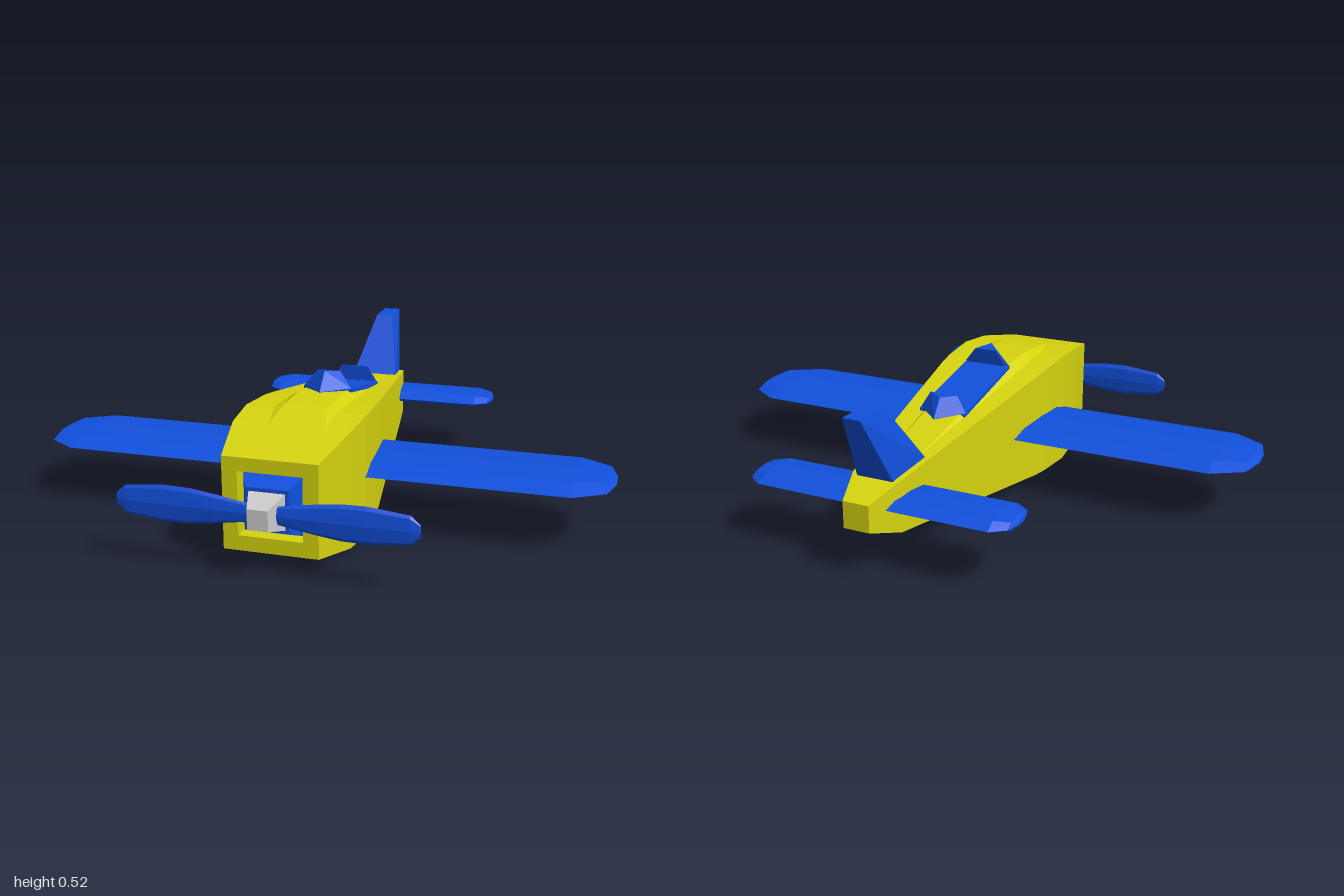
import * as THREE from 'three';
import { ConvexGeometry } from 'three/addons/geometries/ConvexGeometry.js';

const paint = (color) => new THREE.MeshStandardMaterial({ color, flatShading: true });
const yellow = paint(0xd6d40f);
const blue = paint(0x1150dd);
const grey = paint(0xcccccc);

// Solid through a handful of corner points
function hull(name, points, material) {
  const geometry = new ConvexGeometry(points.map((p) => new THREE.Vector3(...p)));
  const mesh = new THREE.Mesh(geometry, material);
  mesh.name = name;
  return mesh;
}

// Mirror a list of points across x = 0
const bothSides = (points) => points.flatMap(([x, y, z]) => [[x, y, z], [-x, y, z]]);

// Boxy fuselage lofted through [z, halfWidth, bottom, top, ridge] stations
function fuselage() {
  const stations = [
    [0.67, 0.105, 0.11, 0.32, 0], // floor of the nose recess
    [0.72, 0.105, 0.11, 0.32, 0], // rim of the recess
    [0.72, 0.155, 0.06, 0.365, 0],
    [0.51, 0.197, 0.015, 0.41, 0],
    [0.36, 0.208, 0.005, 0.422, 0.012],
    [0.2, 0.2, 0.014, 0.414, 0.024],
    [0.13, 0.193, 0.02, 0.406, 0.024],
    [-0.53, 0.106, 0.105, 0.32, 0],
    [-0.69, 0.085, 0.125, 0.3, 0],
    [-0.82, 0.045, 0.17, 0.26, 0],
  ];
  const rings = stations.map(([z, w, bottom, top, ridge]) => {
    const a = Math.min(0.11, w * 0.6), b = Math.min(0.075, w * 0.4);
    return [
      [-w, bottom, z], [w, bottom, z], [w, top, z], [a, top, z],
      [b, top + ridge, z], [-b, top + ridge, z], [-a, top, z], [-w, top, z],
    ];
  });
  const position = [];
  const tri = (...corners) => corners.forEach((c) => position.push(...c));
  const n = rings[0].length;
  for (let i = 0; i < rings.length - 1; i++) {
    for (let j = 0; j < n; j++) {
      const k = (j + 1) % n;
      tri(rings[i][j], rings[i + 1][j], rings[i + 1][k]);
      tri(rings[i][j], rings[i + 1][k], rings[i][k]);
    }
  }
  const last = rings[rings.length - 1];
  for (let j = 1; j < n - 1; j++) {
    tri(rings[0][0], rings[0][j], rings[0][j + 1]);
    tri(last[0], last[j + 1], last[j]);
  }
  const geometry = new THREE.BufferGeometry();
  geometry.setAttribute('position', new THREE.Float32BufferAttribute(position, 3));
  geometry.computeVertexNormals();
  const mesh = new THREE.Mesh(geometry, yellow);
  mesh.name = 'fuselage';
  return mesh;
}

// Lens-shaped blade: sections are [x, scale along z, scale along y]
function blade(name, side, sections, y, z, halfChord, halfThickness) {
  const profile = [[1, 0], [0.6, 0.8], [0, 1], [-0.65, 0.75], [-1, 0], [-0.65, -0.75], [0, -1], [0.6, -0.8]];
  const points = sections.flatMap(([x, sz, sy]) => profile.map(([c, t]) =>
    [side * x, y + t * halfThickness * sy, z + c * halfChord * sz]));
  return hull(name, points, blue);
}

// Square frustum pointing forward along z
function frustum(name, z0, r0, z1, r1, material) {
  const y = 0.213;
  return hull(name, bothSides([
    [r0, y - r0, z0], [r0, y + r0, z0], [r1, y - r1, z1], [r1, y + r1, z1],
  ]), material);
}

export function createModel() {
  const model = new THREE.Group();
  model.name = 'airplane';
  model.add(fuselage());

  // Wings, tailplanes and propeller blades
  for (const [label, side] of [['left', 1], ['right', -1]]) {
    model.add(
      blade(label + 'Wing', side,
        [[0.1, 1, 1], [0.87, 1, 1], [0.975, 0.68, 0.7], [1, 0.2, 0.25]],
        0.212, 0.173, 0.203, 0.03),
      blade(label + 'Tailplane', side,
        [[0.04, 1, 1], [0.405, 1, 1], [0.453, 0.68, 0.7], [0.465, 0.3, 0.3]],
        0.222, -0.643, 0.112, 0.027),
    );
    const propeller = blade(label + 'PropellerBlade', side,
      [[0.03, 0.8, 0.45], [0.16, 1, 0.8], [0.24, 1, 0.97], [0.32, 1, 1], [0.45, 0.8, 0.78], [0.48, 0.4, 0.35]],
      0.215, 0.78, 0.013, 0.06);
    model.add(propeller);
  }

  // Nose
  model.add(
    frustum('engineCowl', 0.665, 0.105, 0.746, 0.07, blue),
    frustum('spinner', 0.74, 0.06, 0.83, 0.033, grey),
  );

  // Tail fin, swept back
  model.add(hull('tailFin', bothSides([
    [0.085, 0.27, -0.505], [0.085, 0.32, -0.535], [0.065, 0.27, -0.69], [0.065, 0.3, -0.702],
    [0.03, 0.53, -0.69], [0.03, 0.53, -0.825],
  ]), blue));

  // Open cockpit: deck, pointed windscreen and headrest
  model.add(
    hull('cockpitDeck', bothSides([
      [0.085, 0.4, 0.12], [0.085, 0.434, 0.12], [0.085, 0.34, -0.25], [0.085, 0.367, -0.25],
    ]), blue),
    hull('windscreen', [
      [0, 0.4, 0.205], [0, 0.44, 0.21], [0, 0.5, 0.15],
      ...bothSides([[0.085, 0.4, 0.115], [0.085, 0.435, 0.115], [0.04, 0.49, 0.097]]),
    ], blue),
    hull('headrest', [
      [0, 0.33, -0.31], [0, 0.358, -0.31], [0, 0.42, -0.265],
      ...bothSides([[0.085, 0.33, -0.24], [0.085, 0.368, -0.24], [0.05, 0.425, -0.235]]),
    ], blue),
  );
  return model;
}
